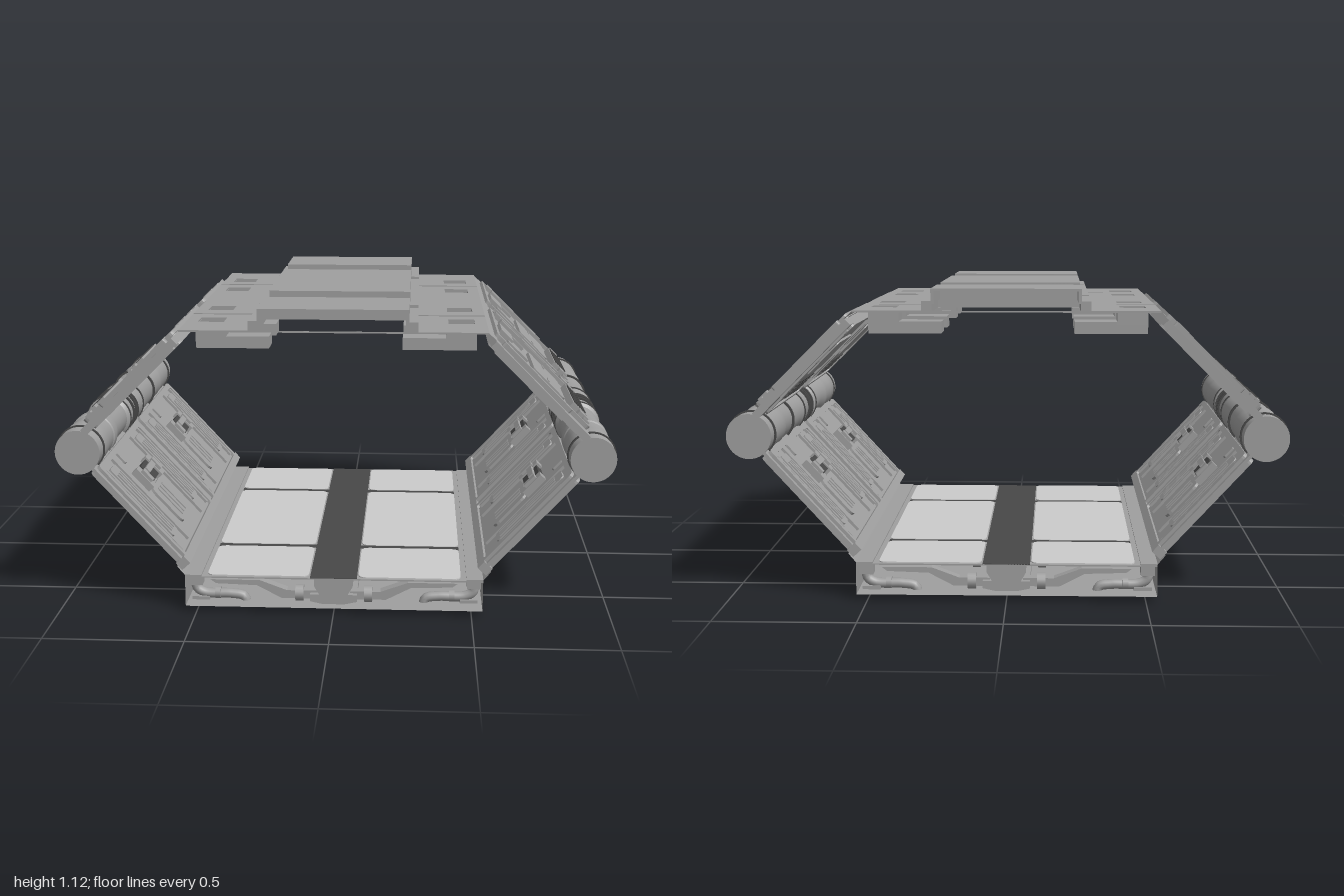
import * as THREE from 'three';
import { toCreasedNormals } from 'three/addons/utils/BufferGeometryUtils.js';

const paint = color => new THREE.MeshStandardMaterial({ color, side: THREE.DoubleSide });
const metal = paint(0x9f9f9f), light = paint(0xc2c2c2), dark = paint(0x484848);

function add(parent, name, geo, mat = metal) {
  const m = new THREE.Mesh(geo, mat);
  m.name = name;
  parent.add(m);
  return m;
}

// Box given by its limits on each axis
function box(parent, name, x0, x1, y0, y1, z0, z1, mat) {
  const m = add(parent, name, new THREE.BoxGeometry(x1 - x0, y1 - y0, z1 - z0), mat);
  m.position.set((x0 + x1) / 2, (y0 + y1) / 2, (z0 + z1) / 2);
  return m;
}

function rect(Type, a0, a1, b0, b1, r = 0) {
  const s = new Type();
  s.moveTo(a0 + r, b0);
  s.lineTo(a1 - r, b0);
  if (r) s.quadraticCurveTo(a1, b0, a1, b0 + r);
  s.lineTo(a1, b1 - r);
  if (r) s.quadraticCurveTo(a1, b1, a1 - r, b1);
  s.lineTo(a0 + r, b1);
  if (r) s.quadraticCurveTo(a0, b1, a0, b1 - r);
  s.lineTo(a0, b0 + r);
  if (r) s.quadraticCurveTo(a0, b0, a0 + r, b0);
  return s;
}

// Horizontal plate from an x/z outline, y0 to y1
function plate(parent, name, shape, y0, y1, mat) {
  const g = new THREE.ExtrudeGeometry(shape, { depth: y1 - y0, bevelEnabled: false, curveSegments: 4 });
  g.rotateX(Math.PI / 2); // shape y becomes z, depth runs down
  g.translate(0, y1, 0);
  return add(parent, name, g, mat);
}

// Thin sheet along the full length between two x/y points
function sheet(parent, name, xa, ya, xb, yb) {
  const m = add(parent, name, new THREE.PlaneGeometry(1.44, Math.hypot(xb - xa, yb - ya)).rotateY(Math.PI / 2));
  m.position.set((xa + xb) / 2, (ya + yb) / 2, 0);
  m.rotation.z = Math.atan2(xa - xb, yb - ya);
}

// Sloped wall: local x is the outward normal, y runs up the slope, z along the hall
function slope(parent, name, x, y, angle) {
  const g = new THREE.Group();
  g.name = name;
  g.position.set(x, y, 0);
  g.rotation.z = angle;
  parent.add(g);
  const k = 1 / Math.cos(angle);
  const wallBox = (part, y0, y1, z0, z1, d0, d1, mat) =>
    box(g, part, d0, d1, (y0 - y) * k, (y1 - y) * k, z0, z1, mat);
  // plate with rounded corners lying on the wall
  const wallPanel = (part, y0, y1, z0, z1, d0, d1, r, hole) => {
    const s = rect(THREE.Shape, -z1, -z0, (y0 - y) * k, (y1 - y) * k, r);
    if (hole) s.holes.push(rect(THREE.Path, -z1 + hole, -z0 - hole, (y0 - y) * k + hole, (y1 - y) * k - hole, r));
    const geo = new THREE.ExtrudeGeometry(s, { depth: d1 - d0, bevelEnabled: false, curveSegments: 4 });
    geo.rotateY(Math.PI / 2);
    geo.translate(d0, 0, 0);
    return add(g, part, geo);
  };
  return { wallBox, wallPanel };
}

function upperWall(parent) {
  const { wallBox, wallPanel } = slope(parent, 'upperWall', 0.715, 0.845, Math.PI / 4);
  wallBox('upperSkin', 0.665, 1.0, -0.72, 0.72, -0.02, 0.008);
  for (const c of [-0.365, 0.365]) {
    wallPanel('bayFrame', 0.67, 1.005, c - 0.285, c + 0.285, 0.008, 0.024, 0.02, 0.014);
    wallPanel('innerBayFrame', 0.675, 1.0, c - 0.285, c + 0.285, -0.028, -0.02, 0.02, 0.018);
    wallPanel('accessPanel', 0.745, 0.86, c - 0.157, c + 0.157, 0.008, 0.02, 0.02);
    wallPanel('innerAccessPanel', 0.8, 0.925, c - 0.157, c + 0.157, -0.028, -0.02, 0.02);
    wallBox('topBlock', 0.935, 0.98, c - 0.07, c + 0.07, 0.008, 0.026);
    // louvred box near the pipe
    wallBox('louverBox', 0.675, 0.725, c - 0.157, c + 0.157, 0.008, 0.034);
    for (let i = 0; i < 5; i++) {
      wallBox('louverSlat', 0.68 + i * 0.009, 0.684 + i * 0.009, c - 0.14, c + 0.14, 0.034, 0.038, dark);
      wallBox('innerSlat', 0.715 + i * 0.014, 0.722 + i * 0.014, c - 0.14, c + 0.14, -0.028, -0.02, dark);
    }
    for (const s of [-1, 1]) {
      const a = c + s * 0.217, b = c + s * 0.115;
      wallBox('lowerClip', 0.675, 0.695, a - 0.04, a + 0.04, 0.008, 0.03);
      wallBox('clipHead', 0.68, 0.71, a - 0.018, a + 0.018, 0.008, 0.036);
      wallBox('upperClip', 0.93, 0.965, a - 0.017, a + 0.017, 0.008, 0.028);
      wallBox('latch', 0.88, 0.92, b - 0.014, b + 0.014, 0.008, 0.02);
      wallBox('panelSlot', 0.803, 0.808, b - 0.03, b + 0.02, 0.02, 0.023);
    }
  }
  for (const z of [-0.675, -0.055, 0.055, 0.675]) {
    wallPanel('uprightBar', 0.74, 0.98, z - 0.014, z + 0.014, 0.008, 0.026, 0.008);
    wallBox('innerBar', 0.74, 0.98, z - 0.014, z + 0.014, -0.028, -0.02);
  }
  wallBox('centerBracket', 0.68, 0.715, -0.03, 0.03, 0.008, 0.026);
  // strip closing the joint with the roof
  sheet(parent, 'roofJoint', 0.57, 1.006, 0.54, 1.033);
}

function lowerWall(parent) {
  const { wallBox, wallPanel } = slope(parent, 'lowerWall', 0.7, 0.345, -0.74);
  wallBox('lowerSkin', 0.175, 0.53, -0.72, 0.72, -0.01, 0.002);
  wallBox('bottomRail', 0.165, 0.19, -0.72, 0.72, -0.022, 0.018);
  for (const c of [-0.365, 0.365]) {
    wallPanel('lowerFrame', 0.17, 0.52, c - 0.335, c + 0.335, -0.022, -0.01, 0.02, 0.022);
    wallPanel('outerFrame', 0.17, 0.52, c - 0.335, c + 0.335, 0.002, 0.02, 0.02, 0.016);
    for (const s of [-1, 1]) {
      const a = c + s * 0.232, d = c + s * 0.085;
      // ribbed columns, showing on both faces
      wallPanel('column', 0.24, 0.49, a - 0.04, a + 0.04, -0.02, 0.016, 0.015);
      for (let i = -1; i <= 1; i++)
        wallBox('columnFin', 0.255, 0.465, a + i * 0.021 - 0.006, a + i * 0.021 + 0.006, -0.025, 0.023);
      for (const e of [0.165, 0.295])
        wallBox('uprightRib', 0.2, 0.51, c + s * e - 0.008, c + s * e + 0.008, -0.02, 0.018);
      // clamps of the device, deeper on the inner face
      wallBox('deviceSide', 0.365, 0.435, d - 0.022, d + 0.022, -0.038, 0.02);
      wallBox('deviceKnob', 0.38, 0.42, d - 0.014, d + 0.014, -0.05, 0.027);
    }
    wallBox('deviceCore', 0.375, 0.43, c - 0.048, c + 0.048, -0.036, 0.018, dark);
    wallBox('deviceHandle', 0.4, 0.418, c - 0.055, c + 0.055, -0.05, 0.025);
    wallPanel('deviceShield', 0.235, 0.365, c - 0.085, c + 0.085, -0.02, 0.014, 0.03);
    for (let i = -1; i <= 1; i++)
      wallBox('shieldRib', 0.25, 0.35, c + i * 0.035 - 0.006, c + i * 0.035 + 0.006, -0.024, 0.02);
    wallPanel('topWindow', 0.465, 0.505, c - 0.09, c + 0.09, -0.018, 0.014, 0.008);
  }
  // strip closing the joint with the floor
  sheet(parent, 'floorJoint', 0.54, 0.134, 0.567, 0.166);
}

// Main pipe turned along z, with dark bands
function sidePipe(parent, x) {
  const pts = [[0, -0.72], [0.081, -0.72], [0.081, -0.5], [0.083, -0.46], [0.079, -0.44], [0.079, -0.12],
    [0.083, -0.1], [0.083, -0.065], [0.079, -0.05], [0.079, 0.165], [0.084, 0.17], [0.084, 0.195], [0.073, 0.205],
    [0.073, 0.38], [0.084, 0.43], [0.084, 0.475], [0.08, 0.48], [0.08, 0.55], [0.083, 0.57], [0.083, 0.66],
    [0.081, 0.67], [0.081, 0.72], [0, 0.72]].map(p => new THREE.Vector2(...p));
  const g = new THREE.LatheGeometry(pts, 40);
  g.rotateX(Math.PI / 2);
  add(parent, 'sidePipe', toCreasedNormals(g, 0.5)).position.set(x, 0.588, 0);
  for (const z of [-0.66, -0.31, -0.07, 0.04, 0.065, 0.11, 0.185, 0.66]) {
    const band = new THREE.CylinderGeometry(0.087, 0.087, 0.01, 40).rotateX(Math.PI / 2);
    add(parent, 'pipeBand', band, dark).position.set(x, 0.588, z);
  }
}

// Small bent drain pipe and its fittings below the deck
function drainPipe(parent, z) {
  const path = new THREE.CatmullRomCurve3([[0.51, 0.115], [0.51, 0.06], [0.48, 0.04], [0.38, 0.037], [0.335, 0.028], [0.325, 0]]
    .map(([x, y]) => new THREE.Vector3(x, y, z)));
  add(parent, 'drainPipe', new THREE.TubeGeometry(path, 24, 0.018, 10));
  box(parent, 'drainFitting', 0.485, 0.535, 0.075, 0.12, z - 0.025, z + 0.025);
  box(parent, 'drainFoot', 0.46, 0.525, 0.018, 0.03, z - 0.022, z + 0.022);
  const ring = add(parent, 'drainCollar', new THREE.CylinderGeometry(0.022, 0.022, 0.02, 12));
  ring.rotation.z = Math.PI / 2;
  ring.position.set(0.43, 0.04, z);
}

// Profile in x/y, extruded along z from z0 to z1
function profile(parent, name, points, z0, z1) {
  const s = new THREE.Shape(points.map(p => new THREE.Vector2(...p)));
  add(parent, name, new THREE.ExtrudeGeometry(s, { depth: z1 - z0, bevelEnabled: false })).position.z = z0;
}

// Floor strut: sloping gutter plate with a round coupling
function floorStrut(parent, z) {
  profile(parent, 'floorStrut', [[0.45, 0.112], [0.43, 0.097], [0.28, 0.092], [0.19, 0.045], [0.06, 0.045],
    [0.06, 0.075], [0.17, 0.075], [0.27, 0.112]], z - 0.02, z + 0.02);
  const c = add(parent, 'strutCoupling', new THREE.CylinderGeometry(0.03, 0.03, 0.03, 14));
  c.rotation.z = Math.PI / 2;
  c.position.set(0.125, 0.06, z);
}

// Ceiling recess leading to a duct that runs inward
function ceilingDuct(parent, z) {
  const s = rect(THREE.Shape, 0.395, 0.505, z - 0.055, z + 0.055);
  s.holes.push(rect(THREE.Path, 0.402, 0.496, z - 0.047, z + 0.047));
  plate(parent, 'ductShaft', s, 0.975, 1.03);
  box(parent, 'ductBox', 0.24, 0.505, 0.942, 0.985, z - 0.055, z + 0.055);
}

function roof(parent) {
  for (const [z0, z1, a, b] of [[-0.72, -0.385, 0, 1], [-0.365, 0.365, 1, 1], [0.385, 0.72, 1, 0]]) {
    // a, b: whether the skylight is closed at its z0 / z1 end
    const o0 = z0 + (a ? 0.022 : 0), o1 = z1 - (b ? 0.022 : 0);
    const i0 = o0 + a * 0.042, i1 = o1 - b * 0.042;
    const s = rect(THREE.Shape, -0.54, 0.54, z0, z1);
    s.holes.push(rect(THREE.Path, -0.26, 0.26, i0 + (a ? 0 : 0.001), i1 - (b ? 0 : 0.001)));
    for (const x of [-0.45, 0.45]) for (const z of [-0.5, -0.24, 0.24, 0.5])
      if (z > z0 && z < z1) s.holes.push(rect(THREE.Path, x - 0.047, x + 0.047, z - 0.047, z + 0.047));
    plate(parent, 'roofPlate', s, 1.03, 1.036);
    for (const x of [-1, 1]) {
      box(parent, 'skylightCollarSide', x * 0.278 - 0.018, x * 0.278 + 0.018, 1.034, 1.07, o0, o1);
      box(parent, 'skylightSide', x * 0.258 - 0.006, x * 0.258 + 0.006, 1.06, 1.112, i0, i1);
    }
    if (a) box(parent, 'skylightCollarEnd', -0.26, 0.26, 1.034, 1.07, o0, i0);
    if (b) box(parent, 'skylightCollarEnd', -0.26, 0.26, 1.034, 1.07, i1, o1);
    if (a) box(parent, 'skylightEnd', -0.26, 0.26, 1.06, 1.112, i0, i0 + 0.01);
    if (b) box(parent, 'skylightEnd', -0.26, 0.26, 1.06, 1.112, i1 - 0.01, i1);
    box(parent, 'skylightTop', -0.264, 0.264, 1.104, 1.113, i0, i1);
  }
  for (const z of [-0.375, 0.375]) box(parent, 'roofGroove', -0.54, 0.54, 1.026, 1.031, z - 0.02, z + 0.02);
}

function floor(parent) {
  sheet(parent, 'bottomSheet', -0.54, 0.015, 0.54, 0.015);
  plate(parent, 'deck', rect(THREE.Shape, -0.54, 0.54, -0.72, 0.72), 0.125, 0.13);
  // tapered centre beam with a wider keel, topped by a dark strip
  profile(parent, 'centerBeam', [[-0.07, 0.128], [-0.07, 0.1], [-0.05, 0.065], [0.05, 0.065], [0.07, 0.1], [0.07, 0.128]], -0.72, 0.72);
  profile(parent, 'beamKeel', [[-0.085, 0.068], [-0.085, 0.042], [-0.04, 0.032], [0.04, 0.032], [0.085, 0.042], [0.085, 0.068]], -0.72, 0.72);
  box(parent, 'centerStrip', -0.085, 0.085, 0.128, 0.132, -0.72, 0.72, dark);
  for (const z of [-0.37, 0.37]) box(parent, 'crossStrip', -0.46, 0.46, 0.128, 0.132, z - 0.015, z + 0.015, dark);
  for (const x of [-0.275, 0.275]) for (const [z0, z1] of [[-0.71, -0.385], [-0.355, 0.355], [0.385, 0.71]])
    plate(parent, 'floorPanel', rect(THREE.Shape, x - 0.185, x + 0.185, z0, z1, 0.03), 0.13, 0.134, light);
}

export function createModel() {
  const model = new THREE.Group();
  model.name = 'corridorSection';
  roof(model);
  floor(model);
  sidePipe(model, 0.915);
  sidePipe(model, -0.915);
  // The two sides are the same half turned about the vertical axis
  for (const side of ['left', 'right']) {
    const half = new THREE.Group();
    half.name = side + 'Side';
    half.rotation.y = side === 'left' ? 0 : Math.PI;
    model.add(half);
    upperWall(half);
    lowerWall(half);
    sheet(half, 'floorSkirt', 0.54, 0.015, 0.54, 0.135);
    box(half, 'deckEdge', 0.48, 0.54, 0.13, 0.135, -0.72, 0.72);
    for (const z of [-0.64, -0.11, 0.09, 0.63]) drainPipe(half, z);
    for (const z of [-0.68, -0.37, 0, 0.37, 0.68]) floorStrut(half, z);
    for (const z of [-0.5, -0.24, 0.24, 0.5]) ceilingDuct(half, z);
  }
  return model;
}
